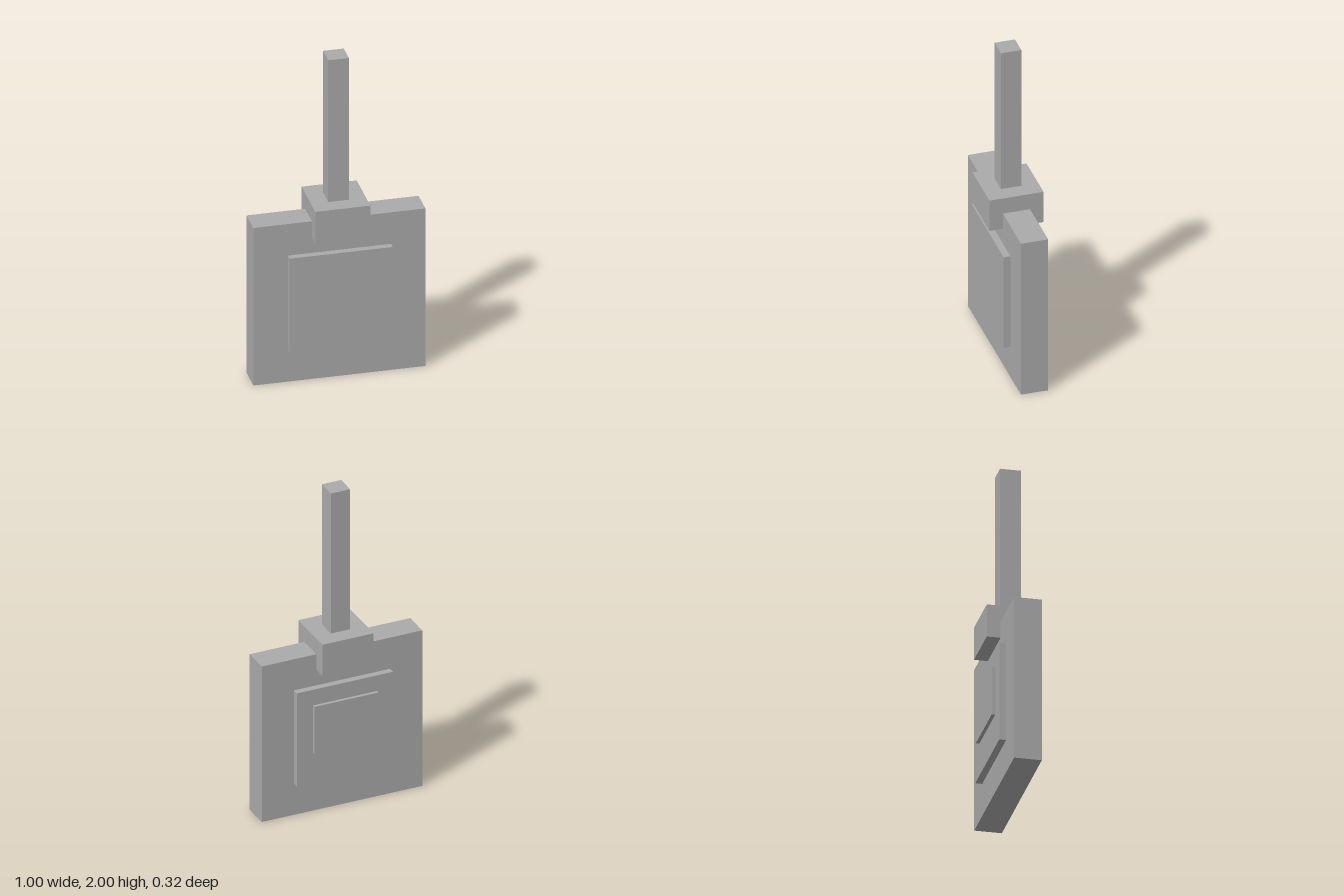
import * as THREE from 'three';

export function createModel() {
  const group = new THREE.Group();
  const grey = new THREE.MeshStandardMaterial({ color: 0xaaaaaa });
  grey.name = 'grey';

  // Box given its size, bottom height and z centre
  function box(name, w, h, d, bottom, z = 0) {
    const mesh = new THREE.Mesh(new THREE.BoxGeometry(w, h, d), grey);
    mesh.name = name;
    mesh.position.set(0, bottom + h / 2, z);
    group.add(mesh);
  }

  // Square slab with a collar and a post on top
  box('body', 1, 1, 0.16, 0);
  box('collar', 0.32, 0.2, 0.32, 0.9);
  box('post', 0.12, 0.9, 0.12, 1.1);

  // Raised panels on both faces, with a smaller plate at the back
  box('frontPanel', 0.6, 0.6, 0.04, 0.2, 0.1);
  box('backPanel', 0.6, 0.6, 0.04, 0.2, -0.1);
  box('backPlate', 0.4, 0.3, 0.02, 0.4, -0.13);

  return group;
}
